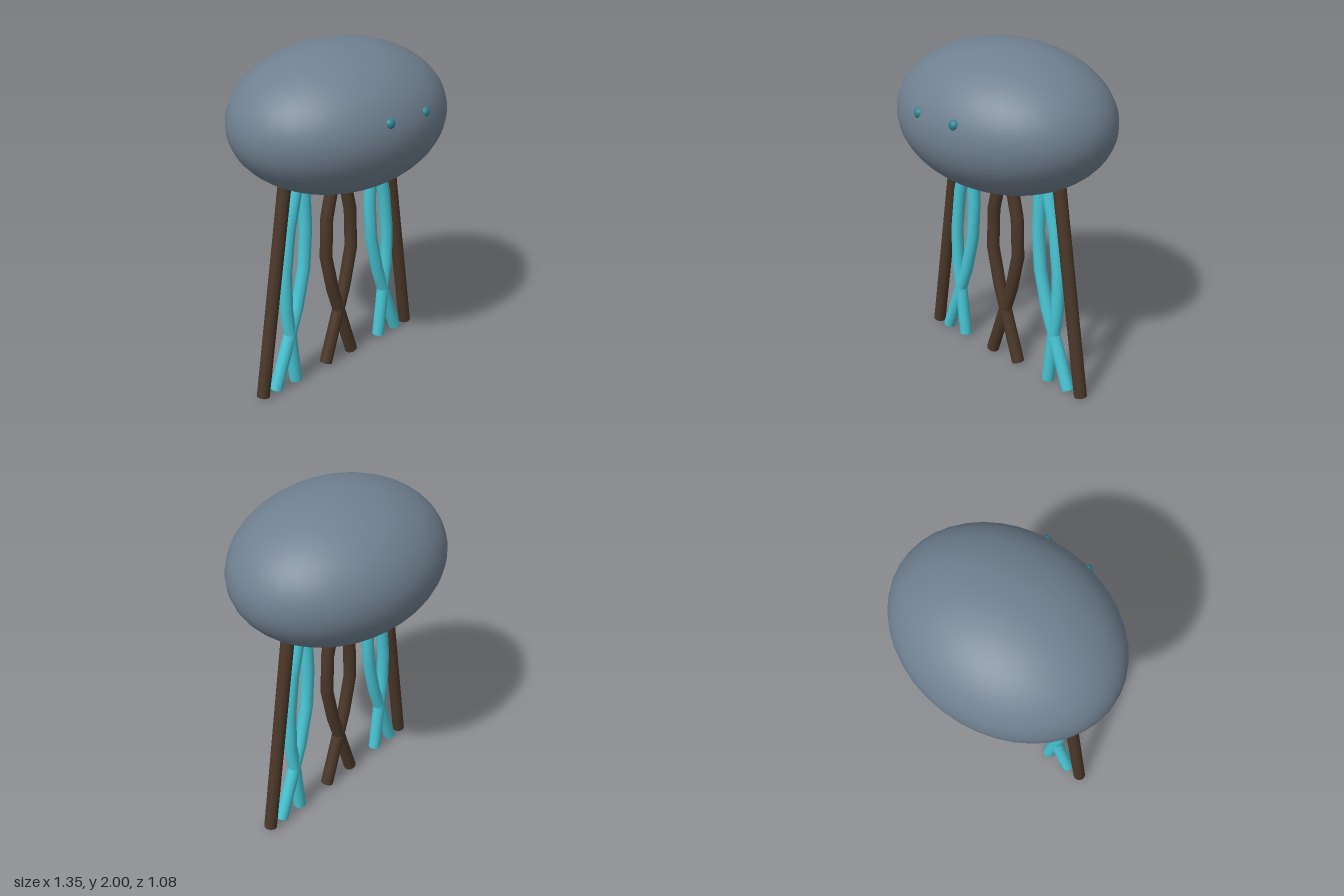
import * as THREE from 'three';

const slate = new THREE.MeshStandardMaterial({ color: 0x708090 });
const brown = new THREE.MeshStandardMaterial({ color: 0x4a3728 });
const cyan = new THREE.MeshStandardMaterial({ color: 0x48c4d3 });
const teal = new THREE.MeshStandardMaterial({ color: 0x2e8490 });

const LEG_RADIUS = 0.038;

// Capped tube whose rings follow a kinked path in the xy plane (listed bottom to top)
function legGeometry(path) {
  const pts = path.map(([x, y]) => new THREE.Vector2(x, y));
  const last = pts.length - 1;
  const geo = new THREE.CylinderGeometry(LEG_RADIUS, LEG_RADIUS, 1, 20, last);
  const pos = geo.attributes.position;
  for (let v = 0; v < pos.count; v++) {
    const i = Math.round((pos.getY(v) + 0.5) * last);
    const dir = pts[Math.min(i + 1, last)].clone().sub(pts[Math.max(i - 1, 0)]).normalize();
    const across = pos.getX(v);
    pos.setXY(v, pts[i].x + dir.y * across, pts[i].y - dir.x * across);
  }
  geo.computeVertexNormals();
  return geo;
}

export function createModel() {
  const model = new THREE.Group();
  model.name = 'leggedCreature';

  const add = (name, geometry, material) => {
    const mesh = new THREE.Mesh(geometry, material);
    mesh.name = name;
    model.add(mesh);
    return mesh;
  };

  // Ellipsoid body
  const body = add('body', new THREE.SphereGeometry(1, 40, 32), slate);
  body.scale.set(0.675, 0.415, 0.54);
  body.position.y = 1.585;

  // Leg paths on the model's left side; the right side is mirrored
  const paths = [
    ['outerLeg', brown, [[0.615, 0.012], [0.40, 1.34]]],
    ['crossedLegA', cyan, [[0.36, 0.012], [0.397, 0.345], [0.42, 0.505], [0.42, 0.74], [0.386, 1.0], [0.32, 1.27]]],
    ['crossedLegB', cyan, [[0.516, 0.012], [0.397, 0.335], [0.34, 0.485], [0.28, 0.73], [0.262, 0.97], [0.272, 1.27]]],
    ['middleLeg', brown, [[-0.11, 0.012], [0, 0.345], [0.05, 0.495], [0.103, 0.73], [0.095, 0.98], [0.035, 1.23]]],
  ];

  for (const [side, s] of [['left', 1], ['right', -1]]) {
    for (const [name, material, path] of paths) {
      const label = side + name[0].toUpperCase() + name.slice(1);
      add(label, legGeometry(path.map(([x, y]) => [s * x, y])), material);
    }

    // Small eye half sunk in the front of the body
    const eye = add(side + 'Eye', new THREE.SphereGeometry(0.03, 16, 12), teal);
    eye.position.set(s * 0.135, 1.68, 0.5);
  }

  return model;
}
